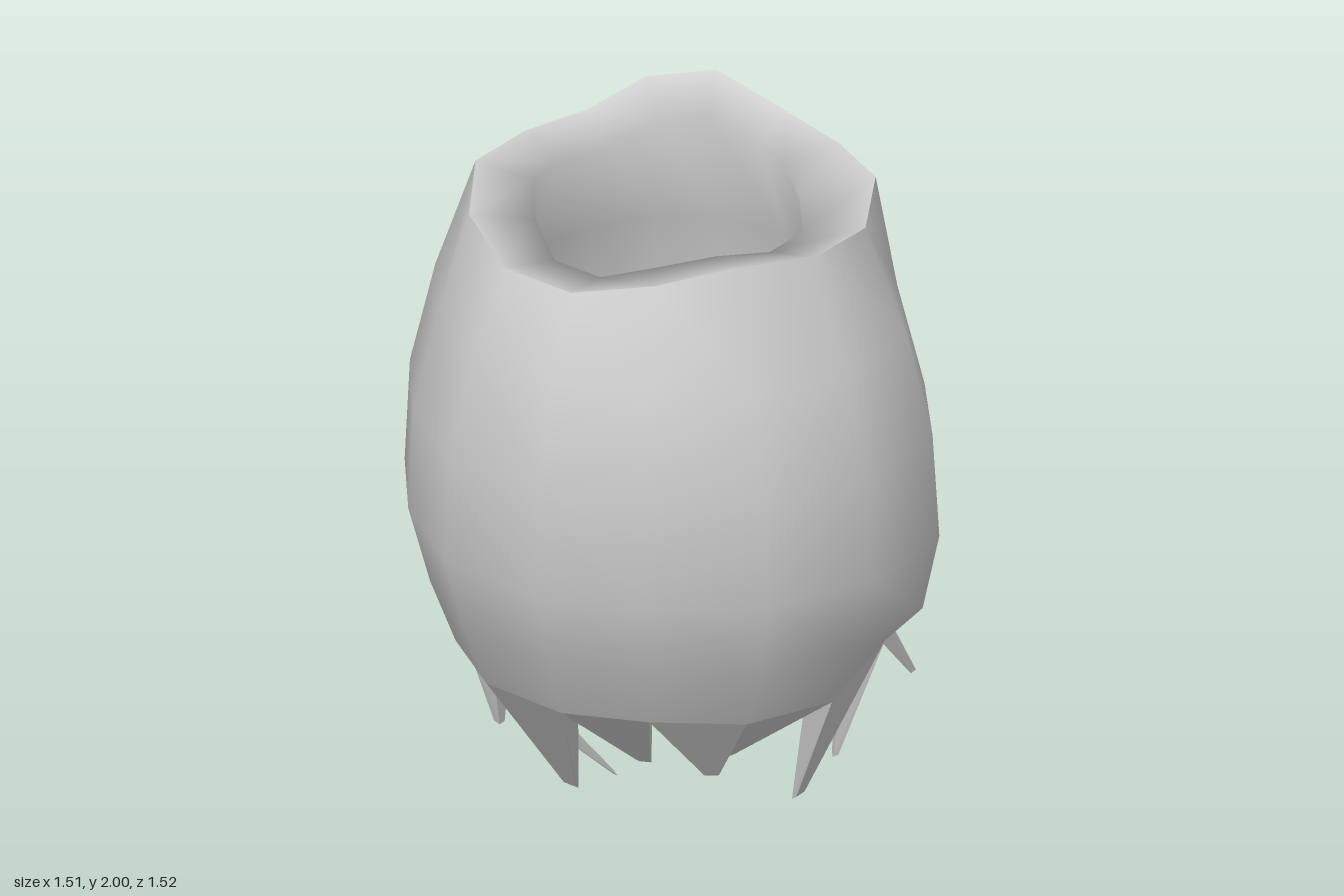
import * as THREE from 'three';
import { ConvexGeometry } from 'three/addons/geometries/ConvexGeometry.js';

// Belly outline seen from above, corner by corner from the front round the left side
const belly = [
  [-0.16, 0.757], [0.18, 0.72], [0.44, 0.54], [0.68, 0.3], [0.757, -0.04],
  [0.68, -0.37], [0.42, -0.58], [0.15, -0.73], [-0.07, -0.757], [-0.4, -0.64],
  [-0.6, -0.45], [-0.71, -0.17], [-0.757, 0.17], [-0.7, 0.41], [-0.47, 0.61],
];
const N = belly.length;

// One cross-section: the belly outline fitted to extents in x and z,
// with a fixed height or one height per corner
function ring(y, x0, x1, z0, z1) {
  return belly.map(([x, z], i) => new THREE.Vector3(
    (x0 + x1) / 2 + ((x1 - x0) / 2) * (x / 0.757),
    Array.isArray(y) ? y[i] : y,
    (z0 + z1) / 2 + ((z1 - z0) / 2) * (z / 0.757)));
}

// Skin between rings, with smooth normals
function loft(rows) {
  const pos = rows.flat().flatMap((p) => [p.x, p.y, p.z]);
  const index = [];
  for (let r = 0; r < rows.length - 1; r++) {
    for (let i = 0; i < N; i++) {
      const j = (i + 1) % N;
      const a = r * N + i, b = r * N + j, c = a + N, d = b + N;
      index.push(a, c, d, a, d, b);
    }
  }
  const g = new THREE.BufferGeometry();
  g.setAttribute('position', new THREE.Float32BufferAttribute(pos, 3));
  g.setIndex(index);
  g.computeVertexNormals();
  return g;
}

export function createModel() {
  const group = new THREE.Group();
  const smooth = new THREE.MeshStandardMaterial({ color: 0xcccccc, side: THREE.DoubleSide });
  const flat = new THREE.MeshStandardMaterial({ color: 0xcccccc, flatShading: true });
  const add = (name, geometry, material = smooth) => {
    const mesh = new THREE.Mesh(geometry, material);
    mesh.name = name;
    group.add(mesh);
  };

  // Wavy mouth, highest at the back right
  const rim = [
    [-0.13, 1.785, 0.56], [0.12, 1.79, 0.535], [0.34, 1.85, 0.41], [0.475, 1.9, 0.25],
    [0.53, 1.86, -0.03], [0.48, 1.85, -0.27], [0.34, 1.9, -0.44], [0.12, 1.9, -0.505],
    [-0.1, 1.925, -0.5], [-0.31, 2, -0.43], [-0.465, 1.965, -0.3], [-0.52, 1.9, -0.12],
    [-0.545, 1.9, 0.09], [-0.505, 1.9, 0.32], [-0.36, 1.84, 0.48],
  ].map((p) => new THREE.Vector3(...p));
  const lip = ring(rim.map((p) => p.y * 0.8 + 0.32), -0.42, 0.345, -0.385, 0.375);

  // Torn lower edge, a little higher at the back left
  const hemY = belly.map((_, i) => (i >= 5 && i <= 7 ? 0.53 : 0.45));
  const hem = ring(hemY, -0.67, 0.57, -0.63, 0.58);

  add('shell', loft([
    rim,
    ring(1.56, -0.65, 0.69, -0.63, 0.69),
    ring(1.24, -0.725, 0.757, -0.72, 0.76),
    ring(0.91, -0.757, 0.757, -0.757, 0.76),
    ring(0.66, -0.72, 0.69, -0.72, 0.68),
    hem,
  ]));

  // Hollow inside, flowing from the floor up over the lip
  add('innerBowl', loft([
    ring(0.4, -0.05, -0.05, 0, 0),
    ring(0.44, -0.3, 0.22, -0.26, 0.26),
    ring(0.56, -0.48, 0.41, -0.44, 0.43),
    ring(0.85, -0.58, 0.54, -0.56, 0.55),
    ring(1.2, -0.59, 0.56, -0.56, 0.57),
    ring(1.55, -0.5, 0.45, -0.47, 0.48),
    lip,
    rim,
  ]));

  // Thickness of the wall between the torn edge and the bowl
  const inward = (p) => new THREE.Vector3(-0.05 + (p.x + 0.05) * 0.84, p.y - 0.01, p.z * 0.84);
  add('wallEdge', loft([hem, ring(0.54, -0.47, 0.4, -0.43, 0.42)]));

  // Tapered shards, one per side, each with its own blunt tip
  const tips = [
    [-0.16, 0.02, 0.27], [0.1, 0.18, 0.23], [0.29, 0.18, 0.15], [0.25, 0.19, 0.06],
    [0.35, 0.04, -0.13], [0.3, 0.09, -0.32], [0.21, 0.19, -0.7], [-0.06, 0.09, -0.35],
    [-0.18, 0, -0.46], [-0.3, 0.13, -0.42], [-0.61, 0.17, -0.33], [-0.46, 0, -0.03],
    [-0.62, 0, 0.12], [-0.48, 0, 0.1], [-0.17, 0, 0.1],
  ];
  tips.forEach((t, i) => {
    const a = hem[i], b = hem[(i + 1) % N];
    const base = [a, b, inward(b), inward(a)];
    const mid = base.reduce((s, p) => s.add(p), new THREE.Vector3()).divideScalar(4);
    const end = base.map((p) => new THREE.Vector3(
      t[0] + (p.x - mid.x) * 0.16, t[1] + (p === a || p === b ? 0.01 : 0), t[2] + (p.z - mid.z) * 0.16));
    add('shard' + (i + 1), new ConvexGeometry([...base, ...end]), flat);
  });

  return group;
}
